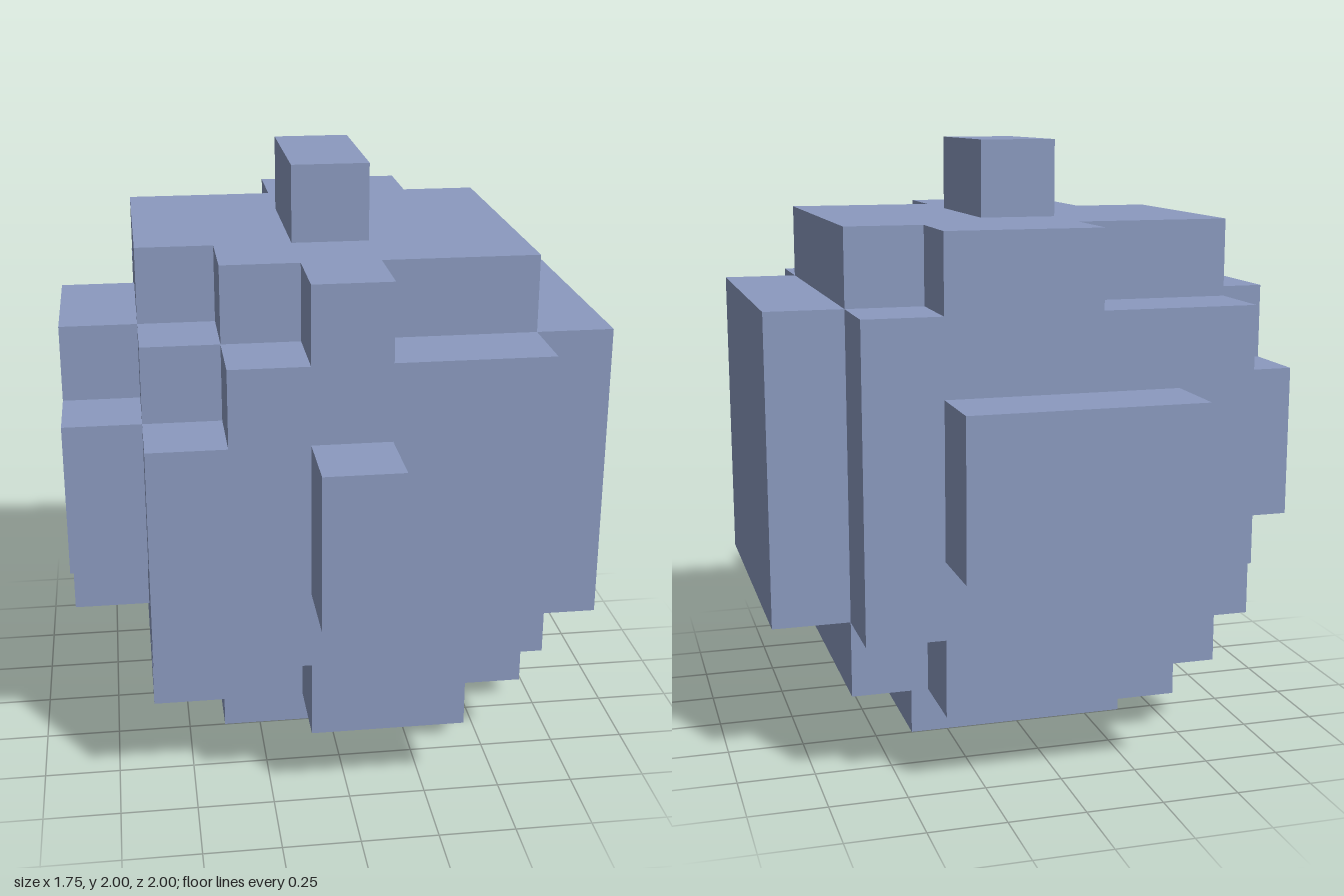
import * as THREE from 'three';

const CELL = 0.25; // every part sits on a grid of quarter units

export function createModel() {
  const model = new THREE.Group();
  model.name = 'blockyAsteroid';
  const stone = new THREE.MeshStandardMaterial({ color: 0x8b9abf });
  stone.name = 'blue grey stone';

  const add = (name, geometry) => {
    const mesh = new THREE.Mesh(geometry.scale(CELL, CELL, CELL), stone);
    mesh.name = name;
    model.add(mesh);
  };
  // Box between two corners, in cells
  const block = (name, [x0, y0, z0], [x1, y1, z1]) =>
    add(name, new THREE.BoxGeometry(x1 - x0, y1 - y0, z1 - z0)
      .translate((x0 + x1) / 2, (y0 + y1) / 2, (z0 + z1) / 2));
  // Stepped outline in x and y, extruded from z0 to z1
  const slab = (name, z0, z1, outline) => {
    const shape = new THREE.Shape(outline.map(([x, y]) => new THREE.Vector2(x, y)));
    add(name, new THREE.ExtrudeGeometry(shape, { depth: z1 - z0, bevelEnabled: false })
      .translate(0, 0, z0));
  };

  // Main body: layers from back to front with notched edges
  slab('backLayer', -3, -2, [
    [-1.5, 1], [1.5, 1], [1.5, 2], [2.5, 2], [2.5, 6], [1.5, 6],
    [1.5, 7], [-0.5, 7], [-0.5, 6], [-2.5, 6], [-2.5, 2], [-1.5, 2],
  ]);
  block('core', [-2.5, 1, -2], [2.5, 7, 1]);
  slab('innerFrontLayer', 1, 2, [
    [-2.5, 1], [2.5, 1], [2.5, 7], [-1.5, 7], [-1.5, 6], [-2.5, 6],
  ]);
  slab('frontLayer', 2, 3, [
    [-0.5, 1], [1.5, 1], [1.5, 2], [2.5, 2], [2.5, 6], [0.5, 6], [0.5, 7],
    [-0.5, 7], [-0.5, 6], [-1.5, 6], [-1.5, 5], [-2.5, 5], [-2.5, 2], [-0.5, 2],
  ]);

  // Side plates: a square on the left, a cross on the right
  block('leftPlate', [2.5, 2, -2], [3.5, 6, 2]);
  block('rightCrossMiddle', [-3.5, 3, -2], [-2.5, 5, 2]);
  block('rightCrossBottom', [-3.5, 2, -1], [-2.5, 3, 1]);
  block('rightCrossTop', [-3.5, 5, -1], [-2.5, 6, 1]);

  // Outer knobs
  block('topKnob', [-0.5, 7, -1], [0.5, 8, 1]);
  block('bottomKnob', [-1.5, 0, -1], [1.5, 1, 1]);
  block('frontKnob', [-0.5, 3, 3], [0.5, 5, 4]);
  block('backKnob', [-1.5, 3, -4], [1.5, 5, -3]);

  return model;
}
